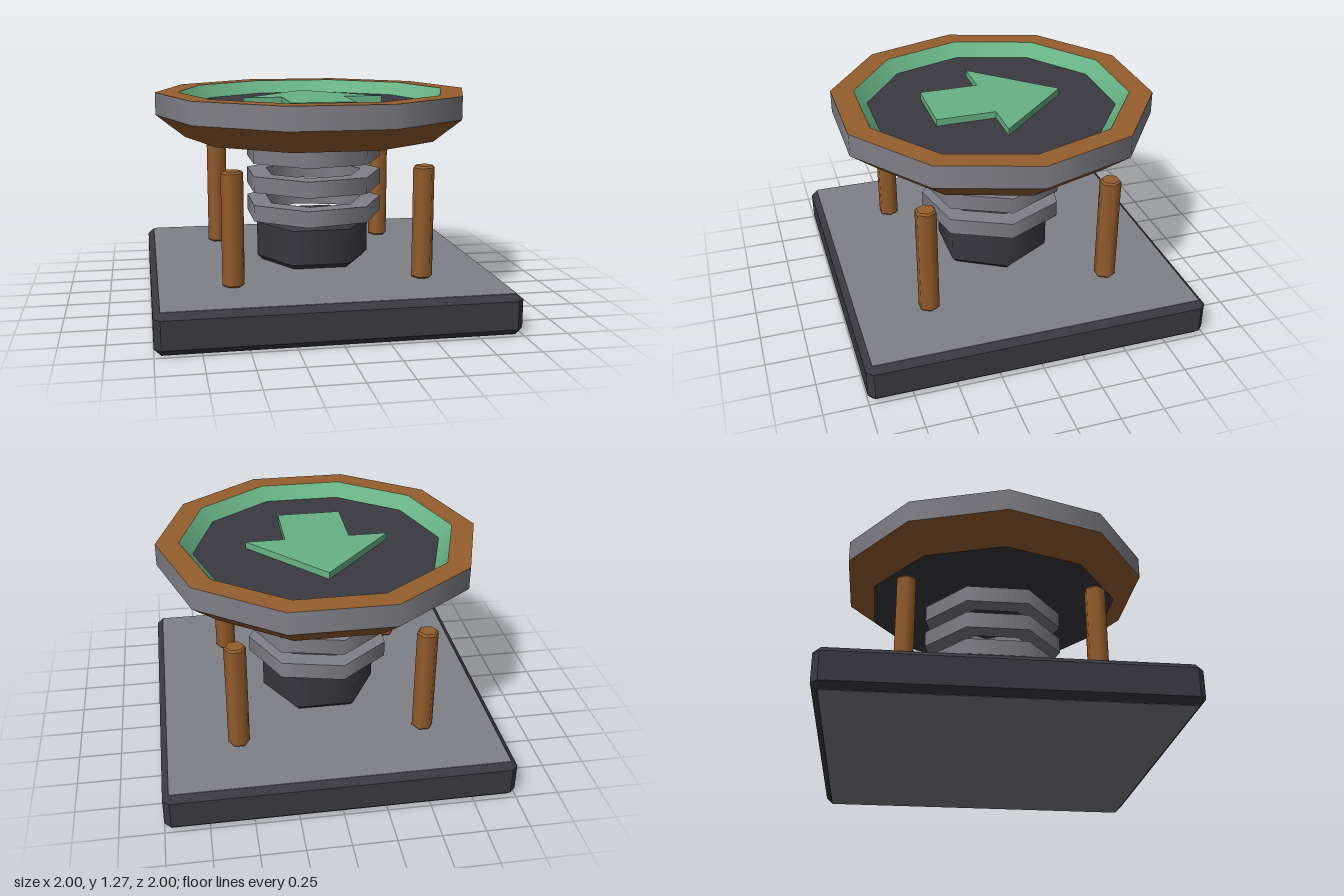
import * as THREE from 'three';
import { mergeGeometries } from 'three/addons/utils/BufferGeometryUtils.js';
import { ConvexGeometry } from 'three/addons/geometries/ConvexGeometry.js';

const paint = (name, color) => Object.assign(new THREE.MeshStandardMaterial({ color }), { name });

// Few-sided turned part: every profile step is its own band, so the steps stay sharp.
function turned(profile, sides) {
  const bands = [];
  for (let i = 0; i < profile.length - 1; i++) {
    const pts = [profile[i], profile[i + 1]].map(([r, y]) => new THREE.Vector2(r, y));
    bands.push(new THREE.LatheGeometry(pts, sides, Math.PI / 2));
  }
  return mergeGeometries(bands);
}

export function createModel() {
  const dark = paint('charcoal', 0x3a3940);
  const grey = paint('steel grey', 0x808087);
  const orange = paint('copper', 0x965e2d);
  const green = paint('green', 0x68b285);

  const model = new THREE.Group();
  model.name = 'jumpPad';
  const add = (name, geometry, material, parent = model) => {
    const mesh = new THREE.Mesh(geometry, material);
    mesh.name = name;
    parent.add(mesh);
    return mesh;
  };

  // Base slab with all edges chamfered
  const corners = [];
  const inner = 0.963;
  for (const sx of [-1, 1]) for (const sz of [-1, 1]) {
    for (const y of [0.002, 0.23]) corners.push(new THREE.Vector3(sx * inner, y, sz * inner));
    for (const y of [0.037, 0.198]) {
      corners.push(new THREE.Vector3(sx, y, sz * inner), new THREE.Vector3(sx * inner, y, sz));
    }
  }
  add('base', new ConvexGeometry(corners), dark);
  const plate = new THREE.BoxGeometry(inner * 2, 0.004, inner * 2);
  add('baseTopPlate', plate, grey).position.y = 0.231;
  add('baseBottomPlate', plate, grey).position.y = 0.002;

  // Four corner posts
  const post = turned([[0, 0.23], [0.052, 0.23], [0.0625, 0.242], [0.0625, 0.873], [0.052, 0.885], [0, 0.885]], 6);
  for (const sx of [-1, 1]) for (const sz of [-1, 1]) {
    add('post', post, orange).position.set(sx * 0.545, 0, sz * 0.545);
  }

  // Central plunger
  add('plunger', turned([[0, 0.23], [0.31, 0.23], [0.345, 0.262], [0.345, 0.47], [0.31, 0.502], [0, 0.502]], 6), dark);

  // Floating spring rings
  const ring = turned([[0.3, 0], [0.425, 0], [0.425, 0.097], [0.3, 0.097], [0.3, 0]], 7);
  for (let i = 0; i < 3; i++) add('springRing', ring, grey).position.y = 0.513 + i * 0.173;

  // Dish: sloped underside, outer band, rim, inner wall and floor
  const dish = new THREE.Group();
  dish.name = 'dish';
  model.add(dish);
  const dishPart = (name, profile, material) => add(name, turned(profile, 10), material, dish);
  dishPart('dishBottom', [[0, 1.003], [0.77, 1.003]], dark);
  dishPart('dishUnderside', [[0.77, 1.003], [0.94, 1.138]], orange);
  dishPart('dishBand', [[0.94, 1.138], [0.94, 1.27]], grey);
  dishPart('dishRim', [[0.94, 1.27], [0.805, 1.27]], orange);
  dishPart('dishInnerWall', [[0.805, 1.27], [0.73, 1.193]], green);
  dishPart('dishFloor', [[0.73, 1.193], [0, 1.193]], dark);

  // Raised arrow pointing to the back
  const arrow = new THREE.Shape([
    [0, 0.425], [-0.42, -0.03], [-0.19, -0.03], [-0.19, -0.38],
    [0.19, -0.38], [0.19, -0.03], [0.42, -0.03],
  ].map(([x, y]) => new THREE.Vector2(x, y)));
  const arrowGeometry = new THREE.ExtrudeGeometry(arrow, { depth: 0.042, bevelEnabled: false });
  arrowGeometry.rotateX(-Math.PI / 2);
  add('arrow', arrowGeometry, green, dish).position.y = 1.191;

  return model;
}
